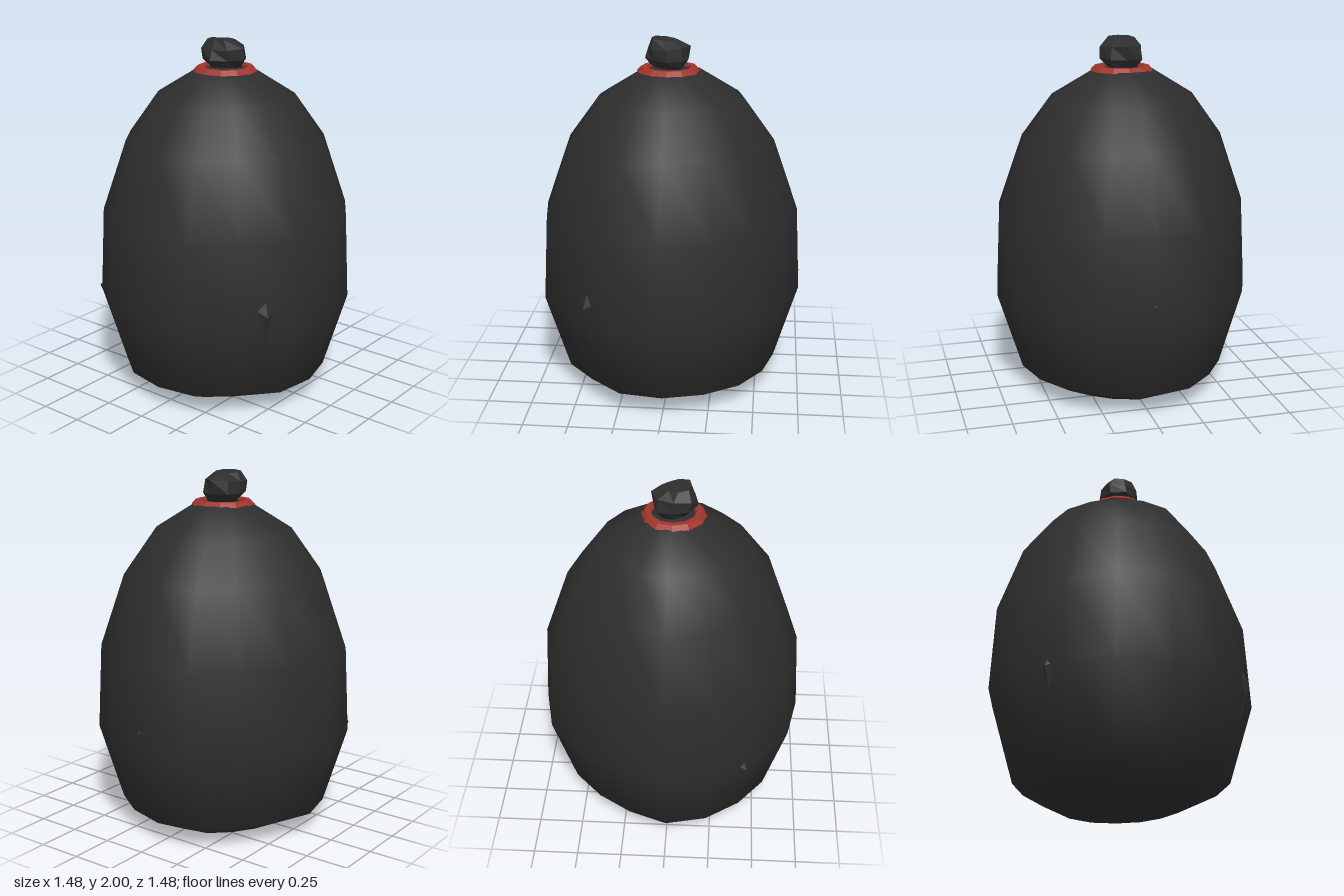
import * as THREE from 'three';
import { mergeVertices } from 'three/addons/utils/BufferGeometryUtils.js';

const charcoal = new THREE.MeshStandardMaterial({ color: 0x2e2e2e });
charcoal.name = 'charcoal';
const stone = new THREE.MeshStandardMaterial({ color: 0x2e2e2e, flatShading: true });
stone.name = 'faceted charcoal';
const red = new THREE.MeshStandardMaterial({ color: 0xa0352c, flatShading: true });
red.name = 'band red';

const SIDES = 16;
// Slightly uneven radius of each column, starting at +z and turning to +x
const COLUMNS = [0.74, 0.72, 0.72, 0.72, 0.74, 0.735, 0.69, 0.69, 0.74, 0.73, 0.72, 0.74, 0.74, 0.75, 0.715, 0.755];

function lathe(profile, sides) {
  return new THREE.LatheGeometry(profile.map(([r, y]) => new THREE.Vector2(r, y)), sides);
}

function addMesh(group, name, geometry, material) {
  const mesh = new THREE.Mesh(geometry, material);
  mesh.name = name;
  group.add(mesh);
  return mesh;
}

// Welds seams and poles so that the surface shades smoothly
function weld(geometry) {
  geometry.deleteAttribute('uv');
  geometry.deleteAttribute('normal');
  const merged = mergeVertices(geometry, 1e-4);
  merged.computeVertexNormals();
  return merged;
}

function bodyGeometry() {
  const profile = [[0, 0], [0.37, 0], [0.605, 0.12], [0.74, 0.56], [0.715, 1.04], [0.575, 1.44], [0.4, 1.68], [0.165, 1.825], [0, 1.84]];
  const geometry = lathe(profile, SIDES);
  const p = geometry.attributes.position;
  for (let i = 0; i < p.count; i++) {
    const column = Math.floor(i / profile.length) % SIDES;
    const s = COLUMNS[column] / 0.74;
    p.setX(i, p.getX(i) * s);
    p.setZ(i, p.getZ(i) * s);
  }
  return weld(geometry);
}

// Lumpy stopper: a short lathe whose points are pushed around by a wave
function knobGeometry() {
  const geometry = lathe([[0, 1.825], [0.085, 1.835], [0.12, 1.88], [0.118, 1.945], [0.075, 1.99], [0, 1.993]], 8);
  const p = geometry.attributes.position;
  for (let i = 0; i < p.count; i++) {
    const x = p.getX(i), y = p.getY(i), z = p.getZ(i);
    const a = Math.atan2(x, z);
    const s = 1 + 0.09 * Math.cos(3 * a + y * 23);
    p.setXYZ(i, x * s - 0.25 * (y - 1.91) * (y > 1.96 ? 1 : 0), y + 0.1 * x * Math.sin(y * 40), z * s);
  }
  return weld(geometry);
}

// Pointed chip standing out of the side; long tip points down
function chip(group, name, angle, y, radius, width, height, depth) {
  const geometry = new THREE.OctahedronGeometry(1);
  geometry.scale(width / 2, height / 2, depth);
  const p = geometry.attributes.position;
  for (let i = 0; i < p.count; i++) {
    if (p.getZ(i) > 0.001) p.setY(i, p.getY(i) + height * 0.12);
    if (Math.abs(p.getX(i)) > 0.001) p.setY(i, p.getY(i) + height * 0.25);
  }
  geometry.computeVertexNormals();
  const mesh = addMesh(group, name, geometry, stone);
  mesh.position.set(Math.sin(angle) * radius, y, Math.cos(angle) * radius);
  mesh.rotation.y = angle;
}

export function createModel() {
  const model = new THREE.Group();
  model.name = 'stoppered vessel';

  addMesh(model, 'body', bodyGeometry(), charcoal);

  // Red band around the neck
  const band = addMesh(model, 'neckBand',
    lathe([[0.115, 1.82], [0.178, 1.82], [0.155, 1.845], [0.125, 1.845], [0.115, 1.82]], 12), red);
  band.position.set(-0.012, 0, 0.008);

  const knob = addMesh(model, 'knob', knobGeometry(), stone);
  knob.position.set(-0.018, 0.007, 0.005);

  // Three chips on the sides
  chip(model, 'frontChip', -0.6, 0.6, 0.69, 0.14, 0.32, 0.055);
  chip(model, 'sideChip', Math.PI / 2 - 0.02, 0.65, 0.71, 0.07, 0.18, 0.028);
  chip(model, 'backChip', -Math.PI * 0.79, 0.52, 0.69, 0.09, 0.18, 0.045);

  return model;
}
